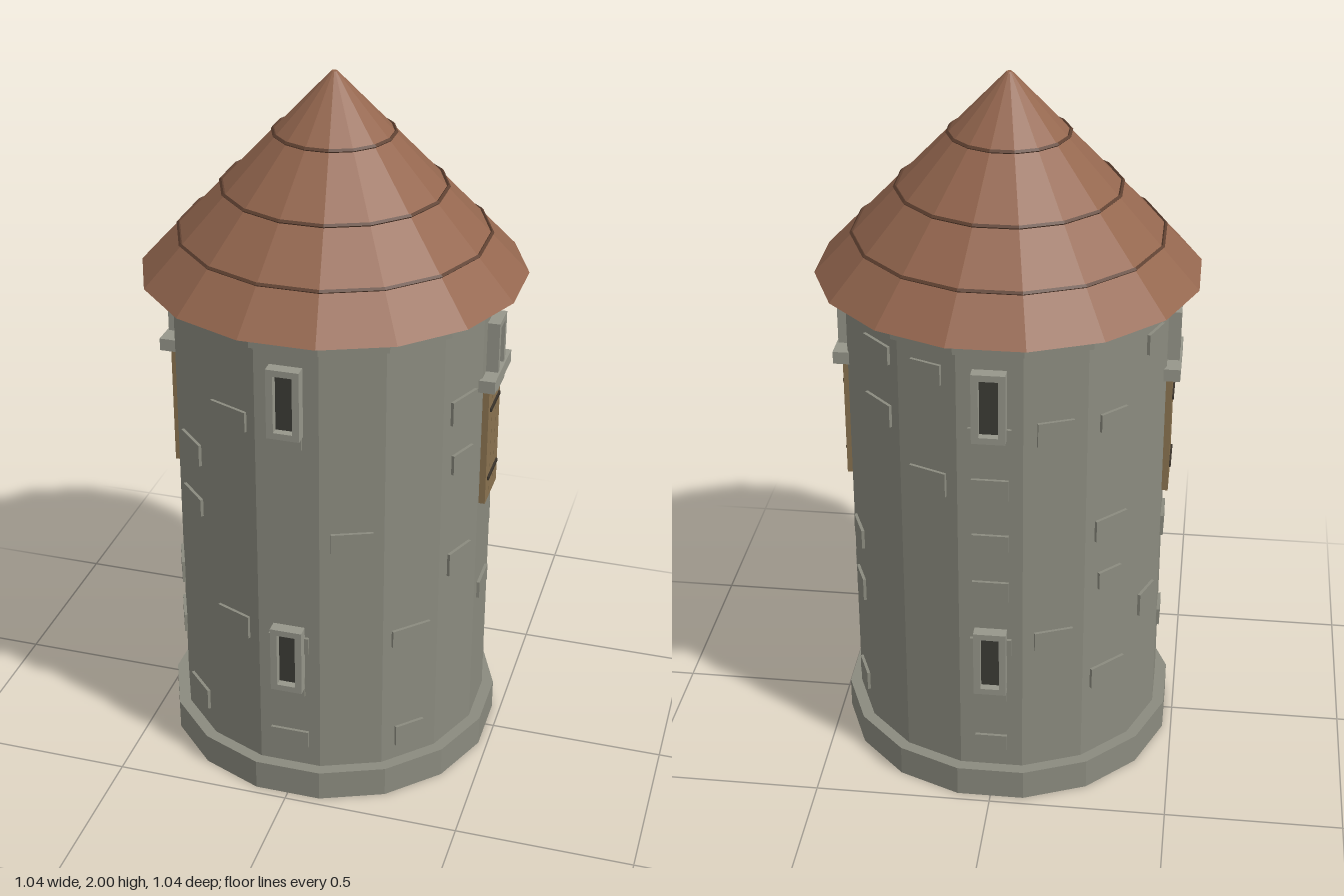
import * as THREE from 'three';

const SIDES = 16;
const APOTHEM = 0.441; // distance from the axis to each flat wall face

const mat = (color) => new THREE.MeshStandardMaterial({ color, flatShading: true });
const stone = mat(0x8b8b7f);
const trim = mat(0x96968a);
const tile = mat(0x95674f);
const tileDark = mat(0x5e4030);
const wood = mat(0x8a7350);
const iron = mat(0x3a332a);
const dark = mat(0x3c3c36);

function add(parent, name, geometry, material, x = 0, y = 0, z = 0) {
  const mesh = new THREE.Mesh(geometry, material);
  mesh.name = name;
  mesh.position.set(x, y, z);
  parent.add(mesh);
  return mesh;
}

// Sixteen-sided drum with flats facing the axes
function drum(parent, name, rTop, rBottom, y0, y1, material) {
  const g = new THREE.CylinderGeometry(rTop, rBottom, y1 - y0, SIDES);
  g.rotateY(Math.PI / SIDES);
  return add(parent, name, g, material, 0, (y0 + y1) / 2, 0);
}

// Box spanning depths z0..z1 in the local frame of a wall face
function slab(parent, name, material, w, h, x, y, z0, z1) {
  return add(parent, name, new THREE.BoxGeometry(w, h, z1 - z0), material, x, y, (z0 + z1) / 2);
}

// Group turned so its +z points out of wall face k (counted from the front)
function face(parent, name, k) {
  const g = new THREE.Group();
  g.name = name;
  g.rotation.y = (k * 2 * Math.PI) / SIDES;
  parent.add(g);
  return g;
}

// Arrow-slit window: raised frame with a hole and a dark pane behind
function slitWindow(parent, y) {
  const rect = (P, w, h) => {
    const p = new P();
    p.moveTo(-w, -h); p.lineTo(w, -h); p.lineTo(w, h); p.lineTo(-w, h); p.closePath();
    return p;
  };
  const shape = rect(THREE.Shape, 0.045, 0.1);
  shape.holes.push(rect(THREE.Path, 0.026, 0.082));
  const frame = new THREE.ExtrudeGeometry(shape, { depth: 0.04, bevelEnabled: false });
  add(parent, 'windowFrame', frame, trim, 0, y, 0.435);
  slab(parent, 'windowOpening', dark, 0.054, 0.166, 0, y, 0.43, 0.453);
}

// Plank hatch with iron straps under a stone ledge
function hatch(parent) {
  for (let i = -1; i <= 1; i++) {
    slab(parent, 'hatchPlank', wood, 0.048, 0.375, i * 0.05, 1.0, 0.43, 0.459);
  }
  slab(parent, 'hatchBacking', iron, 0.146, 0.37, 0, 1.0, 0.43, 0.454);
  for (const y of [0.885, 1.1]) slab(parent, 'hatchStrap', iron, 0.115, 0.01, 0, y, 0.45, 0.464);
  slab(parent, 'ledge', trim, 0.21, 0.036, 0, 1.193, 0.43, 0.48);
}

// Raised wall blocks per face: [height, width]
const BLOCKS = {
  0: [[0.18, 0.11], [0.36, 0.09], [0.5, 0.115], [1.15, 0.085]],
  1: [[0.835, 0.115]],
  2: [[0.17, 0.09], [0.507, 0.12]],
  3: [[0.685, 0.1], [1.0, 0.09], [1.16, 0.11]],
  4: [[0.51, 0.105]],
  5: [[0.18, 0.095], [0.5, 0.085], [0.675, 0.1]],
  6: [[1.155, 0.11], [1.335, 0.11]],
  7: [[1.0, 0.11], [1.325, 0.09]],
  8: [[0.17, 0.09], [0.35, 0.09], [0.5, 0.115], [0.68, 0.1], [0.835, 0.1], [1.0, 0.1], [1.16, 0.115]],
  9: [[0.515, 0.11], [1.165, 0.1]],
  10: [[0.35, 0.12], [0.67, 0.08], [0.835, 0.11], [1.165, 0.09]],
  11: [[0.51, 0.09], [1.335, 0.09]],
  12: [[0.36, 0.09], [0.68, 0.1]],
  13: [[0.345, 0.11], [0.52, 0.1]],
  14: [[0.185, 0.11], [0.835, 0.11], [1.0, 0.11]],
  15: [[0.52, 0.11], [1.17, 0.12]],
};

export function createModel() {
  const tower = new THREE.Group();
  tower.name = 'tower';

  // Masonry body
  drum(tower, 'plinth', 0.484, 0.484, 0, 0.09, stone);
  drum(tower, 'wall', 0.45, 0.45, 0.05, 1.43, stone);
  drum(tower, 'cornice', 0.474, 0.474, 1.405, 1.449, stone);

  // Conical roof with thin bands at the tile courses
  drum(tower, 'roof', 0.008, 0.53, 1.45, 2.0, tile);
  for (const [y, r] of [[1.562, 0.425], [1.69, 0.305], [1.838, 0.163]]) {
    const band = new THREE.TorusGeometry(r, 0.006, 4, SIDES);
    band.rotateX(Math.PI / 2);
    band.rotateY(Math.PI / SIDES);
    add(tower, 'roofBand', band, tileDark, 0, y, 0);
  }

  // Raised blocks, set flat on their wall faces
  for (const [k, list] of Object.entries(BLOCKS)) {
    const g = face(tower, 'wallBlocks', Number(k));
    list.forEach(([y, w], i) => {
      const h = 0.052 + 0.006 * ((Number(k) + i * 2) % 4);
      slab(g, 'wallBlock', stone, w, h, 0, y, APOTHEM - 0.02, APOTHEM + 0.009);
    });
  }

  // Two slits on front and back; one slit above a hatch on each side
  for (const k of [0, 8]) {
    const g = face(tower, 'slitWindows', k);
    slitWindow(g, 1.255);
    slitWindow(g, 0.457);
  }
  for (const k of [4, 12]) {
    const g = face(tower, 'hatchAndWindow', k);
    slitWindow(g, 1.255);
    hatch(g);
  }
  return tower;
}
